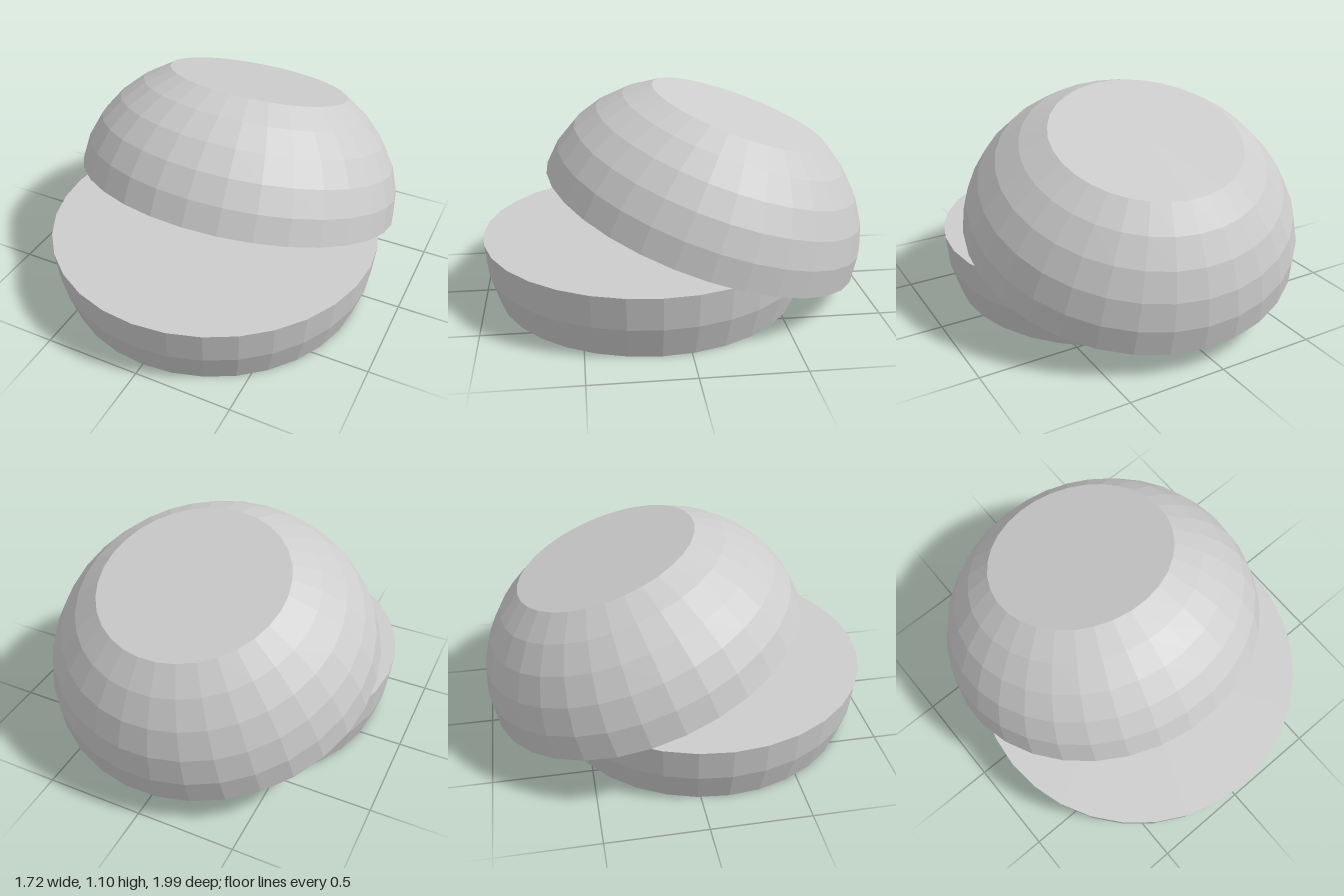
import * as THREE from 'three';

const SEGMENTS = 32;
const RADIUS = 0.86;
const STEP = Math.PI / 16; // latitude step of the faceted bands

// Closed, faceted slice of an ellipsoid between two latitudes (in steps from the equator).
function domeSlice(fromStep, toStep, verticalRadius, phiStart) {
  const points = [];
  for (let i = fromStep; i <= toStep; i++) {
    points.push(new THREE.Vector2(
      RADIUS * Math.cos(i * STEP), verticalRadius * Math.sin(i * STEP)));
  }
  // close both flat ends on the axis
  points.unshift(new THREE.Vector2(0, points[0].y));
  points.push(new THREE.Vector2(0, points[points.length - 1].y));
  const geometry = new THREE.LatheGeometry(points, SEGMENTS, phiStart).toNonIndexed();
  geometry.computeVertexNormals();
  return geometry;
}

export function createModel() {
  const group = new THREE.Group();
  const grey = new THREE.MeshStandardMaterial({ color: 0xcccccc, flatShading: true });
  grey.name = 'light grey';

  // Lower half: shallow bowl shape with a flat top at its equator
  const base = new THREE.Mesh(domeSlice(-2, 0, RADIUS, 0), grey);
  base.name = 'base';
  base.position.set(0, RADIUS * Math.sin(2 * STEP), 0.14);
  group.add(base);

  // Upper half: flattened dome cut flat on top, tipped back and slightly sideways
  const lid = new THREE.Mesh(domeSlice(0, 5, 0.694, STEP / 2), grey);
  lid.name = 'lid';
  lid.position.set(0, 0.4, -0.155);
  lid.rotation.set(-0.333, 0, -0.04);
  group.add(lid);

  return group;
}
